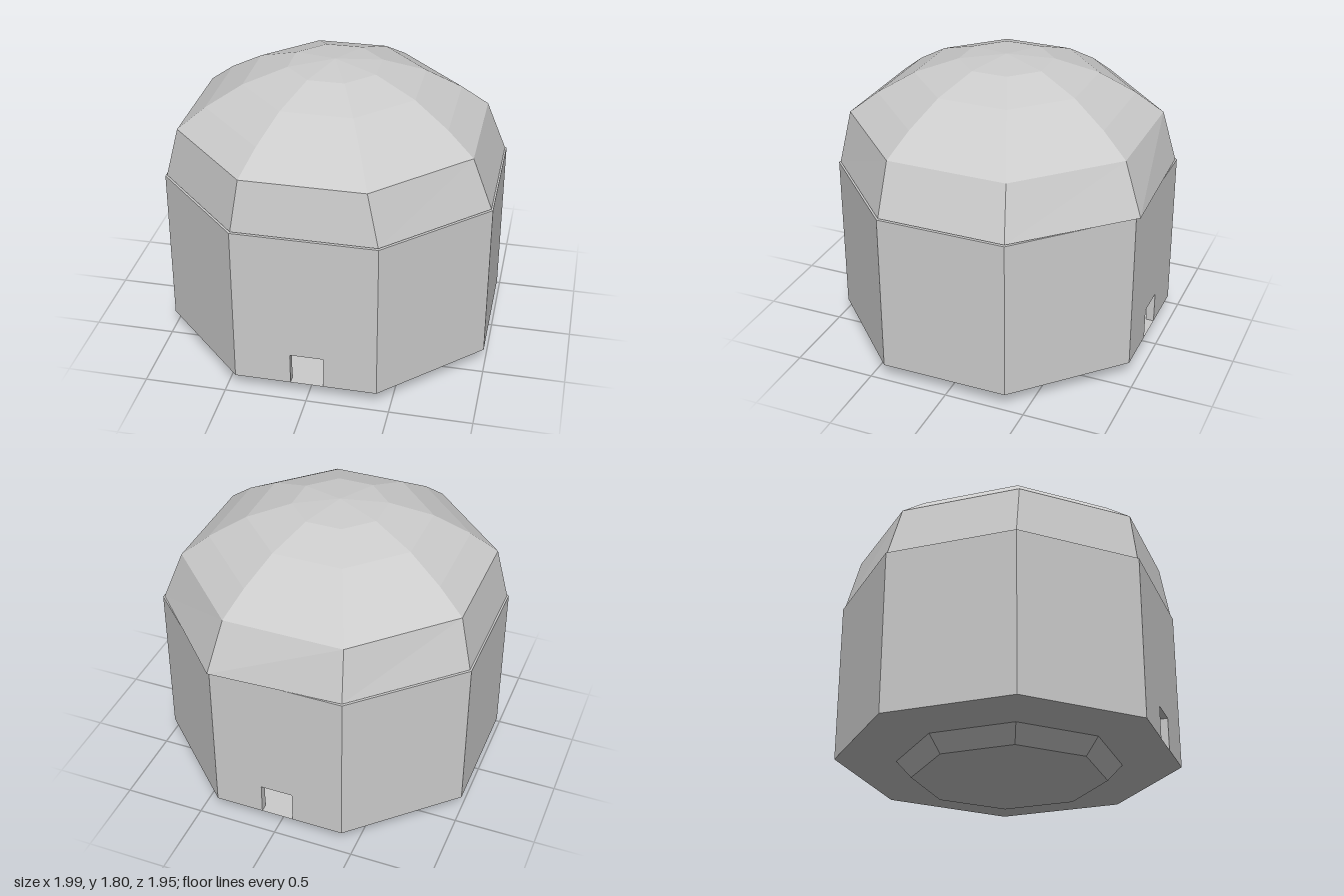
import * as THREE from 'three';

const grey = new THREE.MeshStandardMaterial({ color: 0xcccccc, flatShading: true });
const greyThin = new THREE.MeshStandardMaterial({ color: 0xcccccc, flatShading: true, side: THREE.DoubleSide });

// Wall corners [x, z], starting with the front wall
const corners = [[-0.44, 0.97], [0.42, 0.97], [0.99, 0.41], [0.99, -0.38],
  [0.4, -0.95], [-0.42, -0.95], [-1, -0.39], [-1, 0.41]];
const baseY = 0.1, wallHeight = 1, thickness = 0.05;

function add(group, geometry, name, material = grey) {
  const mesh = new THREE.Mesh(geometry, material);
  mesh.name = name;
  group.add(mesh);
  return mesh;
}

// One upright slab from corner a to corner b, mitred inward, with an optional doorway
function wallPanel(a, b, doorStart) {
  const dir = new THREE.Vector3(b[0] - a[0], 0, b[1] - a[1]);
  const length = dir.length();
  dir.normalize();
  const outline = [[0, 0]];
  if (doorStart !== undefined) {
    outline.push([doorStart, 0], [doorStart, 0.2], [doorStart + 0.2, 0.2], [doorStart + 0.2, 0]);
  }
  outline.push([length, 0], [length, wallHeight], [0, wallHeight]);
  const shape = new THREE.Shape(outline.map(([x, y]) => new THREE.Vector2(x, y)));
  const geometry = new THREE.ExtrudeGeometry(shape, { depth: thickness, bevelEnabled: false });
  geometry.translate(0, 0, -thickness);
  const pos = geometry.attributes.position;
  const mitre = thickness * Math.tan(Math.PI / 8);
  for (let i = 0; i < pos.count; i++) {
    if (pos.getZ(i) > -thickness / 2) continue;
    if (pos.getX(i) < 1e-4) pos.setX(i, mitre);
    else if (pos.getX(i) > length - 1e-4) pos.setX(i, length - mitre);
  }
  const up = new THREE.Vector3(0, 1, 0);
  const out = new THREE.Vector3().crossVectors(dir, up);
  geometry.applyMatrix4(new THREE.Matrix4().makeBasis(dir, up, out).setPosition(a[0], baseY, a[1]));
  geometry.computeVertexNormals();
  return geometry;
}

// Dome lofted from eight-sided rings to an apex
function domeGeometry() {
  const cx = -0.025, cz = 0.03;
  const eaves = corners.map(([x, z]) => [x * 0.99, 1.105, z * 0.99]);
  eaves[4] = [0.4, 1.105, -0.975]; // this corner overhangs the wall
  const rings = [eaves];
  for (const [apothem, y] of [[0.885, 1.42], [0.725, 1.55], [0.515, 1.68], [0.265, 1.77], [0, 1.8]]) {
    const r = apothem / Math.cos(Math.PI / 8);
    rings.push(corners.map((_, i) => {
      const t = (i - 0.5) * Math.PI / 4;
      return [cx + r * Math.sin(t), y, cz + r * Math.cos(t)];
    }));
  }
  const index = [];
  for (let k = 0; k < rings.length - 1; k++) {
    for (let i = 0; i < 8; i++) {
      const a = k * 8 + i, b = k * 8 + (i + 1) % 8;
      index.push(a, b, b + 8);
      if (k < rings.length - 2) index.push(a, b + 8, a + 8);
    }
  }
  const geometry = new THREE.BufferGeometry();
  geometry.setAttribute('position', new THREE.Float32BufferAttribute(rings.flat(2), 3));
  geometry.setIndex(index);
  geometry.computeVertexNormals();
  return geometry;
}

export function createModel() {
  const group = new THREE.Group();
  group.name = 'domedBuilding';

  // Walls, with a doorway at the front and one at the back
  const walls = new THREE.Group();
  walls.name = 'walls';
  const doors = { 0: 0.34, 4: 0.3 };
  corners.forEach((a, i) => add(walls, wallPanel(a, corners[(i + 1) % 8], doors[i]), 'wallPanel'));
  group.add(walls);

  // Domed roof
  add(group, domeGeometry(), 'domeRoof', greyThin);

  // Floor
  const floor = new THREE.ShapeGeometry(new THREE.Shape(corners.map(([x, z]) => new THREE.Vector2(x, -z))));
  floor.rotateX(-Math.PI / 2);
  add(group, floor, 'floor', greyThin).position.y = baseY;

  // Tapered foot under the floor
  const k = 1 / Math.cos(Math.PI / 8);
  const profile = [[0, 0], [0.545 * k, 0], [0.63 * k, baseY]].map(([x, y]) => new THREE.Vector2(x, y));
  add(group, new THREE.LatheGeometry(profile, 8, Math.PI / 8), 'foot').position.z = 0.012;

  return group;
}
